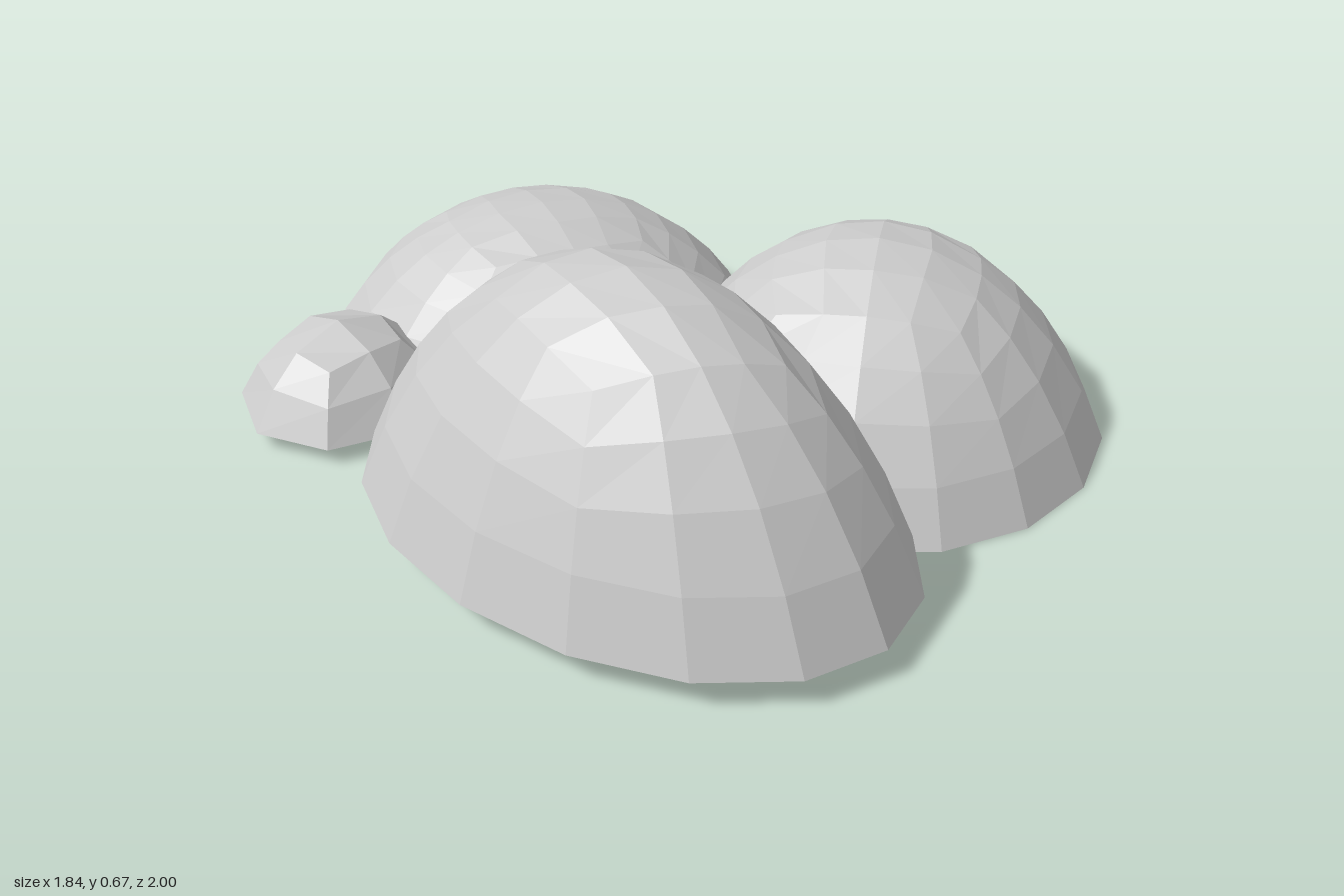
import * as THREE from 'three';

const CAP = THREE.MathUtils.degToRad(55);

// Height (0..1) of a spherical cap at radius r (0..1)
function capHeight(r) {
  const c = Math.sqrt(1 - (Math.sin(CAP) * r) ** 2);
  return 1 - ((1 + Math.cos(CAP)) / (1 + c)) * r * r;
}

// Open faceted dome: a square grid of quads on top, then rings down to the rim.
// half: grid cells from the crown to the grid edge; radii, bulge: size and corner bulge per ring;
// u, v: the two base half-axes as [x, z]
function dome({ name, centre, height, u, v, half, radii, bulge }) {
  const positions = [];

  const point = (ring, angle, corner) => {
    const r = radii[ring] * (1 + bulge[ring] * corner * corner);
    const c = r * Math.cos(angle), s = r * Math.sin(angle);
    return [u[0] * c + v[0] * s, height * capHeight(r), u[1] * c + v[1] * s];
  };

  const gridPoint = (i, j) => {
    const ring = Math.max(Math.abs(i), Math.abs(j));
    if (ring === 0) return point(0, 0, 0);
    const alongI = Math.abs(i) >= Math.abs(j);
    const ratio = alongI ? j / i : i / j;
    let angle = alongI ? ratio * Math.PI / 4 : Math.PI / 2 - ratio * Math.PI / 4;
    if ((alongI ? i : j) < 0) angle += Math.PI;
    return point(ring, angle, ratio);
  };

  const sides = 8 * half;
  const ringPoint = (ring, k) => {
    const toCorner = Math.abs(k / half - 2 * Math.round(k / half / 2));
    return point(ring, (k * Math.PI * 2) / sides, toCorner);
  };

  const quad = (a, b, c, d) => positions.push(...a, ...b, ...c, ...a, ...c, ...d);

  // Crown
  for (let i = -half; i < half; i++)
    for (let j = -half; j < half; j++)
      quad(gridPoint(i, j), gridPoint(i, j + 1), gridPoint(i + 1, j + 1), gridPoint(i + 1, j));

  // Flared sides
  for (let ring = half; ring < radii.length - 1; ring++)
    for (let k = 0; k < sides; k++)
      quad(ringPoint(ring, k), ringPoint(ring, k + 1), ringPoint(ring + 1, k + 1), ringPoint(ring + 1, k));

  const geometry = new THREE.BufferGeometry();
  geometry.setAttribute('position', new THREE.Float32BufferAttribute(positions, 3));
  geometry.computeVertexNormals();
  const mesh = new THREE.Mesh(geometry, new THREE.MeshStandardMaterial({
    color: 0xcccccc, flatShading: true, side: THREE.DoubleSide,
  }));
  mesh.name = name;
  mesh.position.set(...centre);
  return mesh;
}

export function createModel() {
  const group = new THREE.Group();
  group.name = 'moundCluster';

  const fine = {
    half: 2,
    radii: [0, 0.22, 0.43, 0.6, 0.75, 0.89, 1],
    bulge: [0, 0.3, 0.22, 0.1, 0.04, 0, 0],
  };
  const coarse = { half: 1, radii: [0, 0.48, 0.77, 1], bulge: [0, 0.2, 0.05, 0] };

  group.add(
    dome({ name: 'tallMound', centre: [-0.37, 0.07, 0.33], height: 0.6, u: [0.49, 0.18], v: [-0.02, 0.65], ...fine }),
    dome({ name: 'roundMound', centre: [0.365, 0, 0.245], height: 0.48, u: [0.392, 0.392], v: [-0.392, 0.392], ...fine }),
    dome({ name: 'backMound', centre: [-0.08, 0.07, -0.54], height: 0.3, u: [0.5, 0.11], v: [-0.05, 0.45], ...fine }),
    dome({ name: 'smallMound', centre: [-0.67, 0.04, -0.495], height: 0.2, u: [0.25, -0.055], v: [0.05, 0.245], ...coarse }),
  );
  return group;
}
